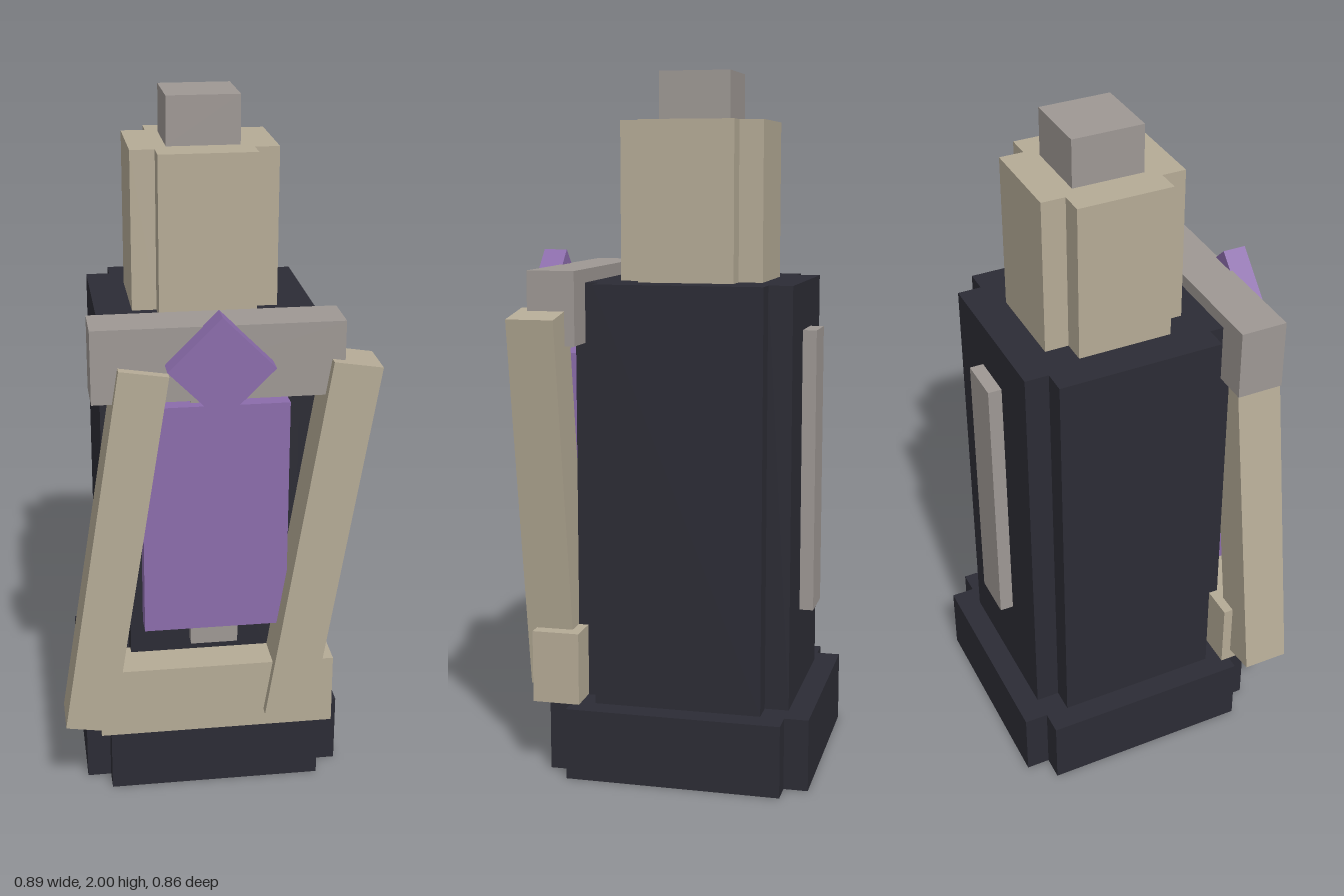
import * as THREE from 'three';

const material = (name, color) => {
  const m = new THREE.MeshStandardMaterial({ color });
  m.name = name;
  return m;
};

export function createModel() {
  const model = new THREE.Group();
  const dark = material('charcoal', 0x2c2c35);
  const beige = material('beige', 0xb5ab96);
  const grey = material('warmGrey', 0x9e9894);
  const purple = material('purple', 0x8b6cab);

  const add = (name, geometry, mat) => {
    const mesh = new THREE.Mesh(geometry, mat);
    mesh.name = name;
    model.add(mesh);
    return mesh;
  };

  // Box given by its min and max corners
  const box = (name, mat, [x0, y0, z0], [x1, y1, z1]) => {
    const mesh = add(name, new THREE.BoxGeometry(x1 - x0, y1 - y0, z1 - z0), mat);
    mesh.position.set((x0 + x1) / 2, (y0 + y1) / 2, (z0 + z1) / 2);
    return mesh;
  };

  // Upright square column with a square notch cut from each corner
  const axisZ = -0.052;
  const column = (name, mat, half, notch, y0, y1) => {
    const a = half, b = half - notch;
    const corners = [
      [a, -b], [a, b], [b, b], [b, a], [-b, a], [-b, b],
      [-a, b], [-a, -b], [-b, -b], [-b, -a], [b, -a], [b, -b],
    ];
    const shape = new THREE.Shape(corners.map(([x, y]) => new THREE.Vector2(x, y)));
    const geometry = new THREE.ExtrudeGeometry(shape, { depth: y1 - y0, bevelEnabled: false });
    geometry.rotateX(-Math.PI / 2);
    add(name, geometry, mat).position.set(0, y0, axisZ);
  };

  // Main stacked tower
  column('base', dark, 0.378, 0.069, 0, 0.207);
  column('body', dark, 0.31, 0.069, 0.207, 1.412);
  column('neck', beige, 0.206, 0.069, 1.412, 1.863);
  box('cap', grey, [-0.103, 1.863, -0.156], [0.103, 2, 0.05]);

  // Raised strips on front and back
  box('backStrip', grey, [-0.068, 0.455, -0.402], [0.068, 1.275, -0.36]);
  box('frontStrip', grey, [-0.068, 0.455, 0.25], [0.068, 1.275, 0.295]);

  // Front panel and its frame
  box('frontPanel', purple, [-0.205, 0.523, 0.255], [0.205, 1.208, 0.325]);
  box('upperCrossbar', grey, [-0.344, 1.242, 0.23], [0.344, 1.45, 0.367]);
  box('lowerCrossbar', beige, [-0.34, 0.209, 0.23], [0.34, 0.418, 0.367]);

  // Two parallel bars, both leaning towards +x
  for (const [name, x] of [['rightLeaningBar', -0.29], ['leftLeaningBar', 0.29]]) {
    const bar = add(name, new THREE.BoxGeometry(0.137, 1.096, 0.136), beige);
    bar.position.set(x, 0.792, 0.327);
    bar.rotation.z = -0.157;
  }

  // Diamond ornament
  const diamond = add('diamond', new THREE.BoxGeometry(0.206, 0.206, 0.069), purple);
  diamond.position.set(0, 1.347, 0.395);
  diamond.rotation.z = Math.PI / 4;

  return model;
}
